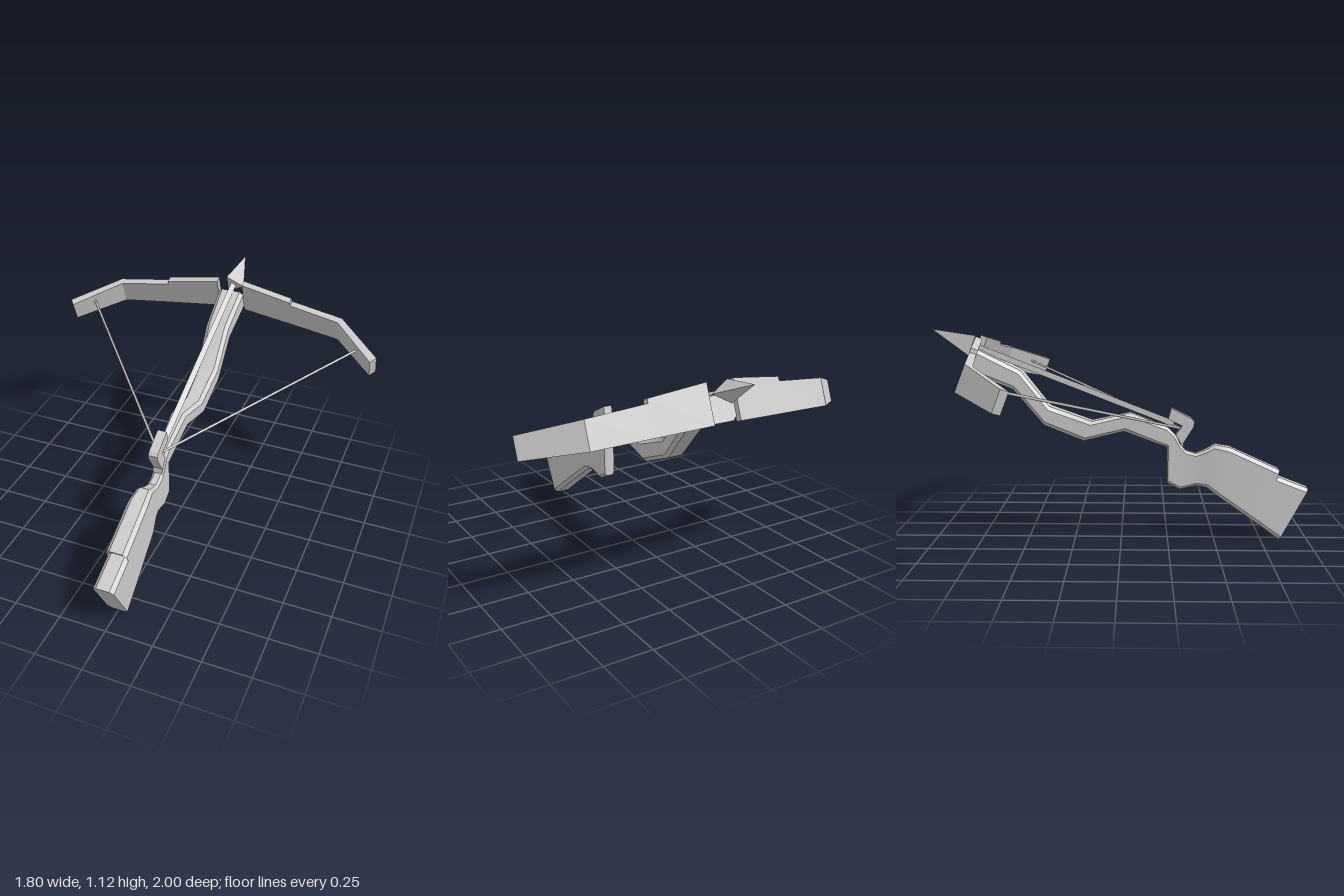
import * as THREE from 'three';
import { toCreasedNormals } from 'three/addons/utils/BufferGeometryUtils.js';

const grey = new THREE.MeshStandardMaterial({ color: 0xcccccc });
const greyFlat = new THREE.MeshStandardMaterial({ color: 0xcccccc, flatShading: true });

// Closed skin over a row of rings; each ring runs counter-clockwise seen from behind the first ring
function loft(rings) {
  const n = rings[0].length, last = (rings.length - 1) * n, index = [];
  for (let i = 0; i < last; i += n) {
    for (let j = 0; j < n; j++) {
      const a = i + j, b = i + (j + 1) % n;
      index.push(a, a + n, b, b, a + n, b + n);
    }
  }
  for (let j = 1; j < n - 1; j++) {
    index.push(0, j, j + 1, last, last + j + 1, last + j);
  }
  const g = new THREE.BufferGeometry();
  g.setAttribute('position', new THREE.Float32BufferAttribute(rings.flat(2), 3));
  g.setIndex(index);
  g.computeVertexNormals();
  return g;
}

// Straight rod from a to b, optionally tapering
function rod(a, b, rA, rB, sides) {
  const dir = b.clone().sub(a);
  const g = new THREE.CylinderGeometry(rB, rA, dir.length(), sides, 1, false, Math.PI / 2);
  g.applyQuaternion(new THREE.Quaternion().setFromUnitVectors(new THREE.Vector3(0, 1, 0), dir.normalize()));
  const m = a.clone().add(b).multiplyScalar(0.5);
  return g.translate(m.x, m.y, m.z);
}

// Chamfered section between a top and a bottom point
function stockRing([tz, ty, bz, by, w]) {
  const c = Math.min(0.02, w * 0.45), k = c / Math.hypot(tz - bz, ty - by);
  return [[w, k], [w, 1 - k], [w - c, 1], [c - w, 1], [-w, 1 - k], [-w, k], [c - w, 0], [w - c, 0]]
    .map(([x, t]) => [x, by + (ty - by) * t, bz + (tz - bz) * t]);
}

export function createModel() {
  const group = new THREE.Group();
  const add = (name, geometry, material) => {
    const mesh = new THREE.Mesh(geometry, material);
    mesh.name = name;
    group.add(mesh);
  };

  // Stock: top z, top y, bottom z, bottom y, half width, from butt to nose
  const stations = [
    [1.0, 0.29, 0.85, 0.01, 0.055],
    [0.82, 0.36, 0.74, 0.09, 0.055],
    [0.845, 0.39, 0.735, 0.093, 0.055],
    [0.58, 0.51, 0.52, 0.245, 0.053],
    [0.5, 0.525, 0.46, 0.29, 0.043],
    [0.46, 0.5, 0.43, 0.297, 0.036],
    [0.4, 0.475, 0.4, 0.3, 0.031],
    [0.345, 0.49, 0.315, 0.28, 0.03],
    [0.315, 0.525, 0.245, 0.315, 0.03],
    [0.29, 0.575, 0.245, 0.51, 0.03],
    [0.25, 0.615, 0.2, 0.525, 0.031],
    [0.05, 0.695, 0.015, 0.595, 0.042],
    [-0.155, 0.65, -0.2, 0.545, 0.054],
    [-0.38, 0.73, -0.41, 0.63, 0.06],
    [-0.53, 0.92, -0.57, 0.82, 0.065],
    [-0.75, 1.03, -0.8, 0.912, 0.072],
  ];
  add('stock', toCreasedNormals(loft(stations.map(stockRing)), 0.6), grey);

  // Bow limbs: x front, x back, forward, bottom, top in a frame tilted with the bolt
  const limb = [
    [0.073, 0.073, 1.102, 0.553, 0.751],
    [0.363, 0.363, 1.06, 0.549, 0.725],
    [0.366, 0.366, 1.06, 0.549, 0.703],
    [0.66, 0.645, 1.017, 0.545, 0.685],
    [0.9, 0.873, 0.8, 0.562, 0.675],
  ];
  const place = (x, f, u) => [x, 0.363 * f + 0.932 * u, -0.932 * f + 0.363 * u];
  for (const [side, s] of [['left', 1], ['right', -1]]) {
    const rings = limb.map(([xf, xb, f, lo, hi]) => {
      const back = f - 0.036;
      const ring = [place(s * xb, back, lo), place(s * xb, back, hi), place(s * xf, f, hi), place(s * xf, f, lo)];
      return s > 0 ? ring : ring.reverse();
    });
    add(side + 'Limb', loft(rings), greyFlat);

    // Drawn string half
    add(side + 'String', rod(new THREE.Vector3(s * 0.78, 0.905, -0.57),
      new THREE.Vector3(0, 0.61, 0.315), 0.007, 0.007, 6), grey);
  }

  // Bolt: three-sided shaft and head
  const neck = new THREE.Vector3(0, 1.05, -0.785);
  add('boltShaft', rod(new THREE.Vector3(0, 0.635, 0.28), neck, 0.018, 0.018, 3), greyFlat);
  add('boltHead', rod(neck, new THREE.Vector3(0, 1.135, -1), 0.065, 0, 3), greyFlat);

  // Hooked string latch
  const outline = [[0.335, 0.5], [0.29, 0.575], [0.325, 0.625], [0.25, 0.66], [0.265, 0.72], [0.375, 0.665], [0.39, 0.645], [0.385, 0.62], [0.33, 0.53]];
  const shape = new THREE.Shape(outline.map(([z, y]) => new THREE.Vector2(-z, y)));
  const latch = new THREE.ExtrudeGeometry(shape, { depth: 0.05, bevelEnabled: false });
  add('latch', latch.rotateY(Math.PI / 2).translate(-0.025, 0, 0), greyFlat);

  return group;
}
